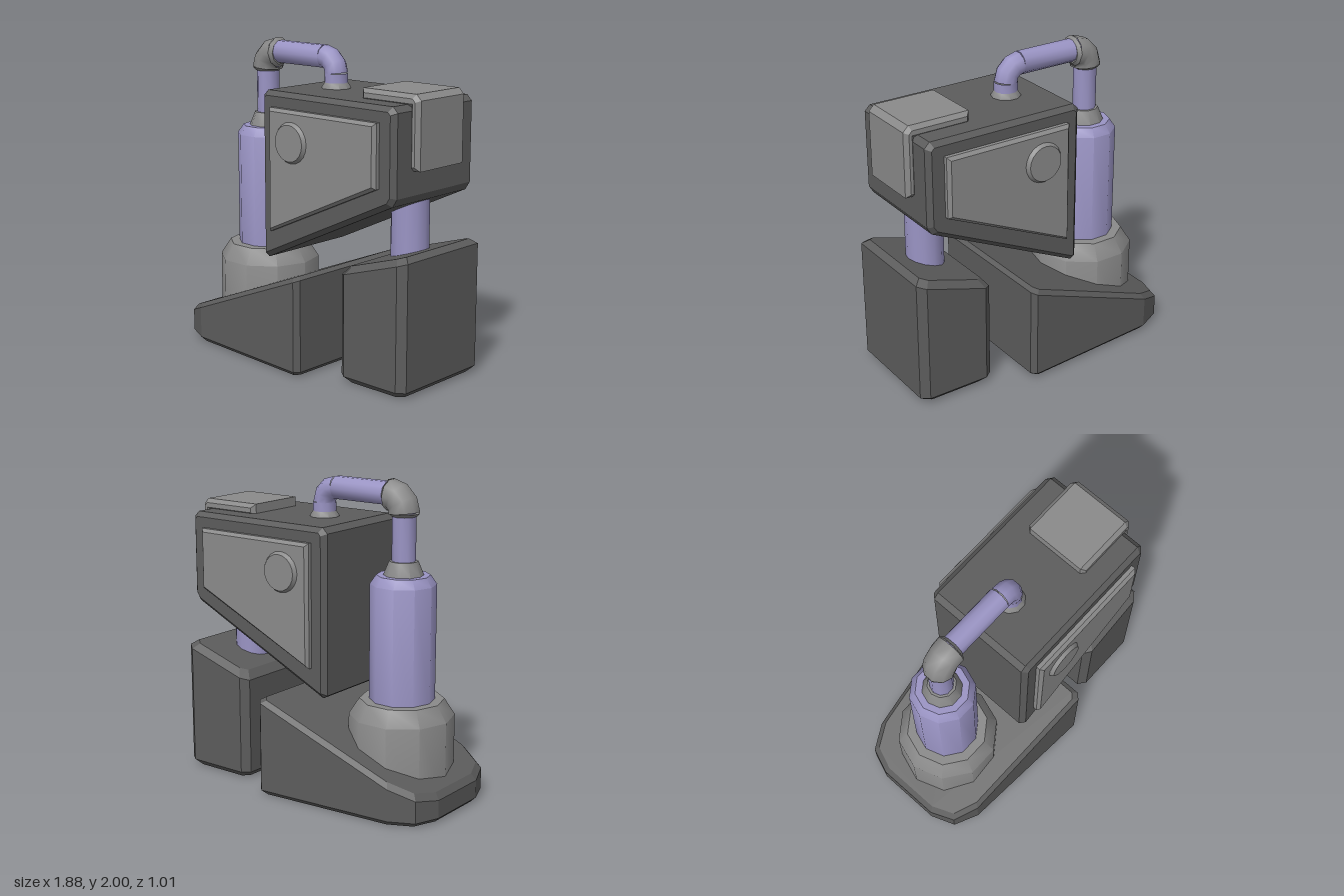
import * as THREE from 'three';
import { toCreasedNormals } from 'three/addons/utils/BufferGeometryUtils.js';

const material = (color, flatShading = false) => new THREE.MeshStandardMaterial({ color, flatShading });
const V = (x, y, z = 0) => new THREE.Vector3(x, y, z);

export function createModel() {
  const model = new THREE.Group();
  const dark = material(0x5c5c5c, true);
  const grey = material(0x8a8a8a);
  const purple = material(0x9a94c4);

  function add(name, geometry, mat) {
    const mesh = new THREE.Mesh(geometry, mat);
    mesh.name = name;
    model.add(mesh);
    return mesh;
  }

  // Cuts the corners of an outline by distance c
  function cutCorners(points, c) {
    const out = [];
    points.forEach(([x, y], i) => {
      const p = new THREE.Vector2(x, y);
      for (const step of [-1, 1]) {
        const q = new THREE.Vector2(...points[(i + step + points.length) % points.length]);
        out.push(p.clone().add(q.sub(p).setLength(c)));
      }
    });
    return out;
  }

  // Bevelled slab from an outline in the xy plane, between z0 and z1
  function slab(points, z0, z1, bevel) {
    const g = new THREE.ExtrudeGeometry(new THREE.Shape(points), {
      depth: z1 - z0 - 2 * bevel, bevelEnabled: true, bevelSegments: 1,
      bevelThickness: bevel, bevelSize: bevel, bevelOffset: -bevel,
    });
    return g.translate(0, 0, z0 + bevel);
  }

  // Chamfered block with a sloped top; half is the +z half of its plan as [x, z]
  function slopedBlock(half, topY, c) {
    const plan = [...half, ...half.map(([x, z]) => [x, -z]).reverse()];
    const xs = plan.map((p) => p[0]);
    const minX = Math.min(...xs), maxX = Math.max(...xs);
    const cx = (minX + maxX) / 2;
    const sx = 1 - (2 * c) / (maxX - minX);
    const sz = 1 - c / Math.max(...plan.map((p) => p[1]));
    const inset = plan.map(([x, z]) => [cx + (x - cx) * sx, z * sz]);
    const rings = [
      inset.map(([x, z]) => [x, 0, z]),
      plan.map(([x, z]) => [x, c, z]),
      plan.map(([x, z]) => [x, topY(x) - c, z]),
      inset.map(([x, z]) => [x, topY(x), z]),
    ];
    const n = plan.length;
    const pos = [];
    const tri = (...corners) => corners.forEach((p) => pos.push(...p));
    for (let r = 0; r < 3; r++) {
      for (let i = 0; i < n; i++) {
        const j = (i + 1) % n;
        const a = rings[r], b = rings[r + 1];
        tri(a[i], a[j], b[j]);
        tri(a[i], b[j], b[i]);
      }
    }
    for (let i = 1; i < n - 1; i++) {
      tri(rings[0][0], rings[0][i + 1], rings[0][i]);
      tri(rings[3][0], rings[3][i], rings[3][i + 1]);
    }
    const g = new THREE.BufferGeometry();
    g.setAttribute('position', new THREE.Float32BufferAttribute(pos, 3));
    g.computeVertexNormals();
    return g;
  }

  // Turned part about a vertical axis at x, from [radius, y] pairs
  function turned(profile, x, sides = 10) {
    const g = new THREE.LatheGeometry(profile.map((p) => new THREE.Vector2(...p)), sides, Math.PI / 2);
    return toCreasedNormals(g.translate(x, 0, 0), 0.7);
  }

  // Quarter bend in the xy plane
  function bend(cx, cy, R, from, to, radius) {
    const points = [];
    for (let i = 0; i <= 8; i++) {
      const a = from + ((to - from) * i) / 8;
      points.push(V(cx + R * Math.cos(a), cy + R * Math.sin(a)));
    }
    return new THREE.TubeGeometry(new THREE.CatmullRomCurve3(points), 3, radius, 10);
  }

  // Feet
  add('rearFoot', slopedBlock(
    [[-0.945, 0.21], [-0.885, 0.365], [-0.73, 0.44], [0.19, 0.507], [0.22, 0.475]],
    (x) => 0.555 + 0.403 * x, 0.03), dark);
  add('frontFoot', slopedBlock(
    [[0.43, 0.33], [0.48, 0.37], [0.89, 0.37], [0.94, 0.33]],
    (x) => 0.574 + 0.31 * x, 0.042), dark);

  // Front leg
  add('frontLeg', turned([[0, 0.6], [0.118, 0.6], [0.118, 1.3], [0, 1.3]], 0.68, 12), purple);

  // Body
  add('body', slab(cutCorners([[-0.21, 0.65], [0.86, 1.155], [0.86, 1.72], [-0.21, 1.72]], 0.035),
    -0.37, 0.37, 0.03), dark);

  // Side panels with round hubs
  const panelOutline = [[-0.11, 0.85], [0.75, 1.24], [0.75, 1.625], [-0.11, 1.625]]
    .map((p) => new THREE.Vector2(...p));
  for (const side of [1, -1]) {
    const z0 = side > 0 ? 0.35 : -0.415;
    add('sidePanel', slab(panelOutline, z0, z0 + 0.065, 0.02), grey);
    const hub = new THREE.CylinderGeometry(0.112, 0.132, 0.03, 20);
    hub.rotateX(side * Math.PI / 2).translate(0.09, 1.43, side * 0.423);
    add('sideHub', toCreasedNormals(hub, 0.5), grey);
  }

  // Bracket over the upper corner of the body
  add('cornerBracket', slab([
    [0.47, 1.7], [0.84, 1.7], [0.84, 1.335], [0.91, 1.335], [0.91, 1.745], [0.875, 1.78], [0.47, 1.78],
  ].map((p) => new THREE.Vector2(...p)), -0.22, 0.22, 0.025), grey);

  // Rear piston
  const px = -0.525;
  add('pistonBase', turned([[0, 0.05], [0.327, 0.05], [0.327, 0.55], [0.262, 0.65], [0, 0.65]], px), grey);
  add('piston', turned([[0, 0.6], [0.203, 0.6], [0.203, 1.37], [0.165, 1.425], [0, 1.425]], px), purple);
  add('pistonNeck', turned([[0, 1.4], [0.123, 1.4], [0.123, 1.425], [0.088, 1.51], [0, 1.51]], px), grey);
  add('pistonRod', turned([[0, 1.48], [0.073, 1.48], [0.073, 1.83], [0, 1.83]], px), purple);

  // Elbow with a bevelled collar at each end
  add('elbow', bend(-0.425, 1.8, 0.1, Math.PI, Math.PI / 2, 0.098), grey);
  const collar = () => new THREE.CylinderGeometry(0.098, 0.077, 0.02, 10);
  add('elbowCollar', toCreasedNormals(collar().translate(px, 1.79, 0), 0.7), grey);
  add('elbowCollar', toCreasedNormals(collar().rotateZ(Math.PI / 2).translate(-0.417, 1.902, 0), 0.7), grey);

  // Pipe from the elbow into the body
  const run = new THREE.CylinderGeometry(0.073, 0.073, 0.43, 10);
  add('pipeRun', toCreasedNormals(run.rotateZ(Math.PI / 2).translate(-0.235, 1.908, 0), 0.7), purple);
  add('pipeBend', bend(-0.02, 1.812, 0.096, Math.PI / 2, 0, 0.073), purple);
  add('pipeDrop', turned([[0.073, 1.7], [0.073, 1.812]], 0.076), purple);
  add('pipeFlange', turned([[0, 1.7], [0.092, 1.7], [0.092, 1.725], [0.073, 1.755], [0, 1.755]], 0.076), grey);

  return model;
}
